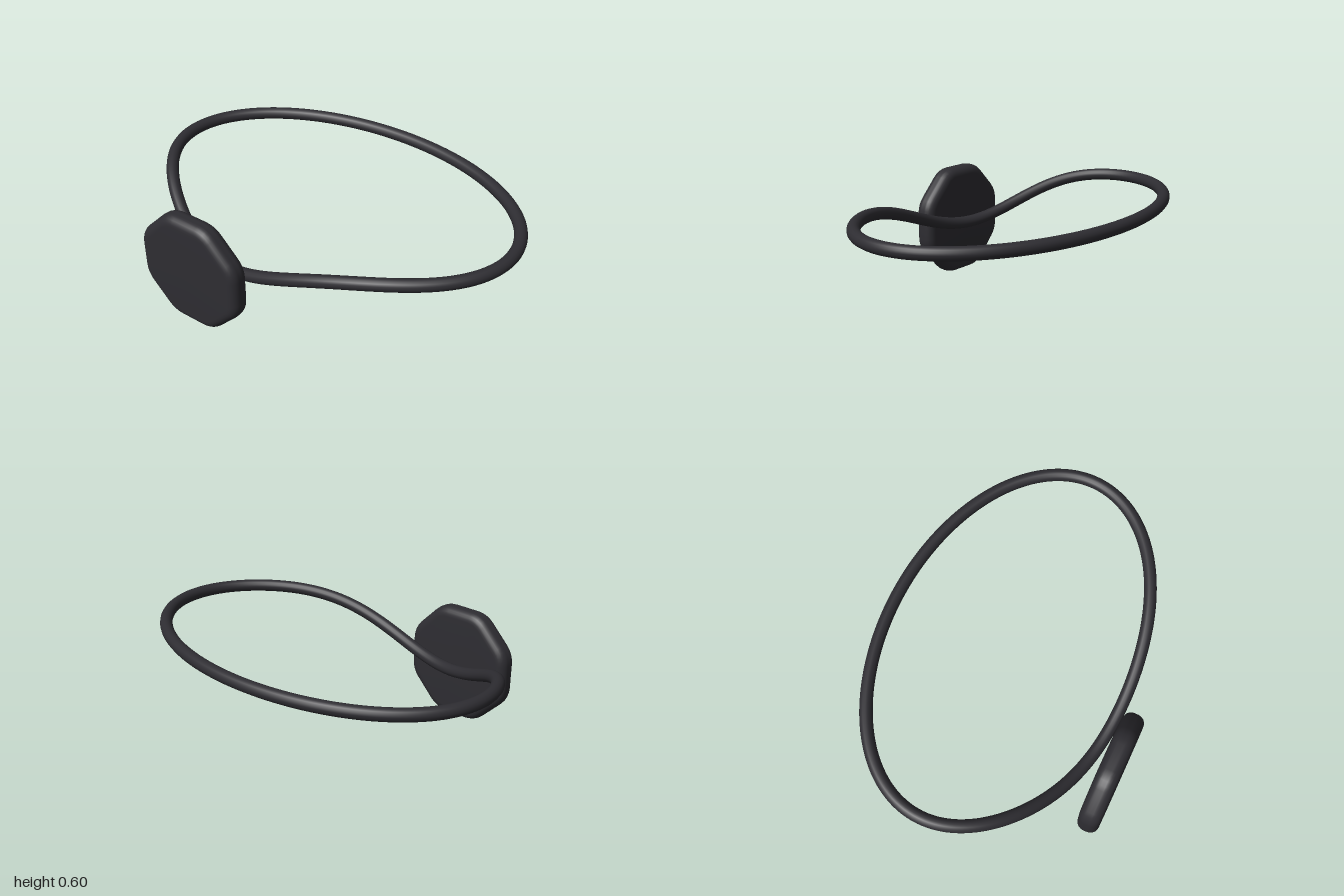
import * as THREE from 'three';
import { toCreasedNormals } from 'three/addons/utils/BufferGeometryUtils.js';

const material = new THREE.MeshStandardMaterial({ color: 0x2e2d32 });

// Oval loop that lies flat and sags smoothly towards the plate
class LoopCurve extends THREE.Curve {
  getPoint(t, target = new THREE.Vector3()) {
    const sagAngle = -0.31, spread = 0.4;
    const a = sagAngle + Math.PI + t * Math.PI * 2;
    const d = (t - 0.5) * Math.PI * 2; // angle away from the lowest point
    const sag = 0.23 * Math.exp(-(d * d) / (2 * spread * spread));
    return target.set(0.968 * Math.sin(a), 0.532 - sag, -0.055 + 0.613 * Math.cos(a));
  }
}

// Octagon with softened corners, flat edge on top
function octagon(apothem, trim) {
  const radius = apothem / Math.cos(Math.PI / 8);
  const corners = [];
  for (let i = 0; i < 8; i++) {
    const a = (i + 0.5) * Math.PI / 4;
    corners.push(new THREE.Vector2(radius * Math.cos(a), radius * Math.sin(a)));
  }
  const shape = new THREE.Shape();
  corners.forEach((c, i) => {
    const towards = (other) => other.clone().sub(c).setLength(trim).add(c);
    const start = towards(corners[(i + 7) % 8]);
    const end = towards(corners[(i + 1) % 8]);
    if (i === 0) shape.moveTo(start.x, start.y);
    else shape.lineTo(start.x, start.y);
    shape.quadraticCurveTo(c.x, c.y, end.x, end.y);
  });
  shape.closePath();
  return shape;
}

export function createModel() {
  const group = new THREE.Group();

  // Loop
  const loop = new THREE.Mesh(new THREE.TubeGeometry(new LoopCurve(), 200, 0.032, 16, true), material);
  loop.name = 'loop';
  group.add(loop);

  // Octagonal plate with rounded rim
  const bevel = 0.045, depth = 0.02;
  const plateGeometry = new THREE.ExtrudeGeometry(octagon(0.3 - bevel, 0.04), {
    depth, bevelEnabled: true, bevelThickness: bevel, bevelSize: bevel, bevelSegments: 6, curveSegments: 4,
  });
  plateGeometry.translate(0, 0, -depth / 2);
  const plate = new THREE.Mesh(toCreasedNormals(plateGeometry, 0.5), material);
  plate.name = 'plate';
  plate.position.set(-0.345, 0.3, 0.643);
  group.add(plate);

  return group;
}
